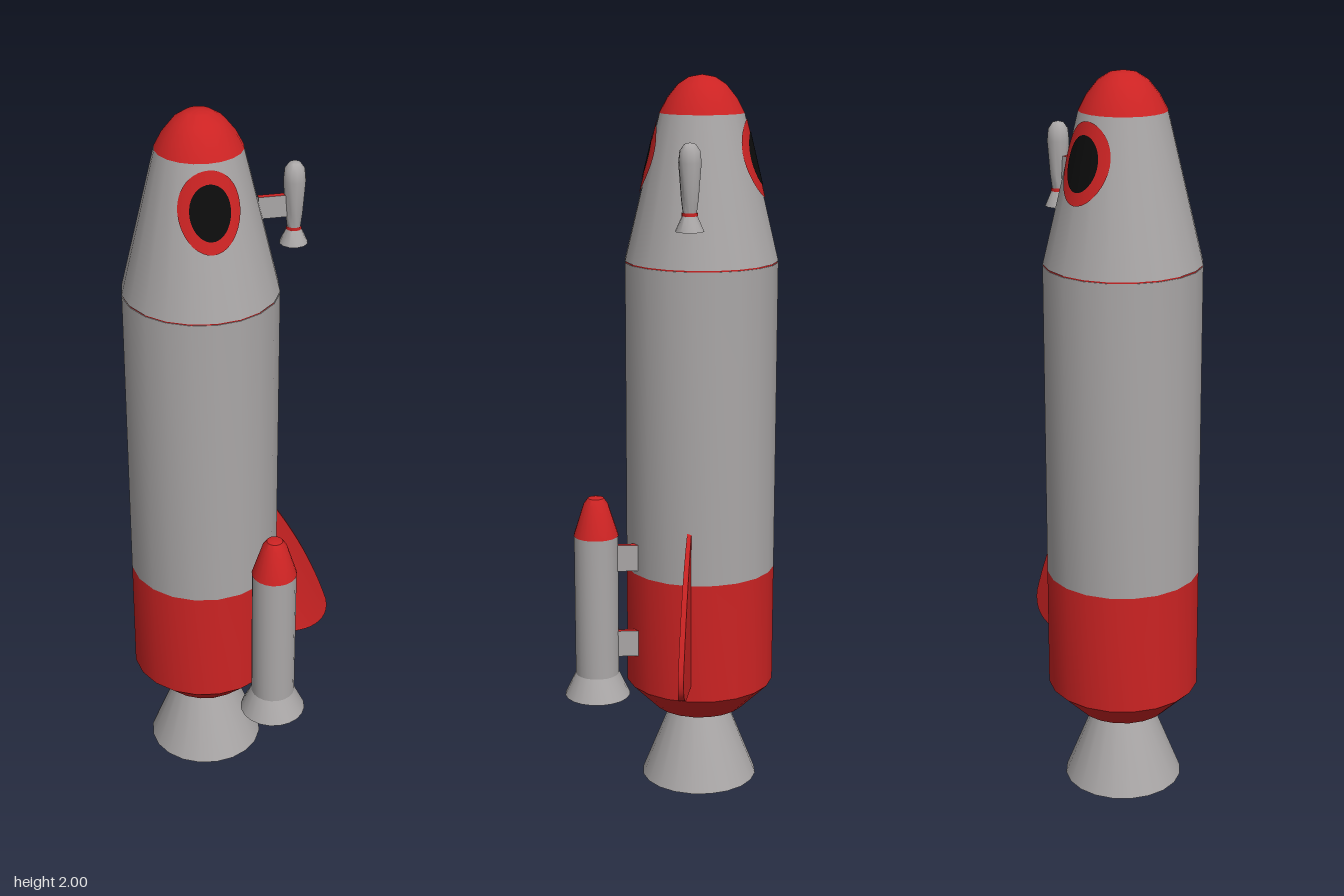
import * as THREE from 'three';
import { toCreasedNormals } from 'three/addons/utils/BufferGeometryUtils.js';

const grey = new THREE.MeshStandardMaterial({ color: 0xaaa7a7 });
grey.name = 'hullGrey';
const red = new THREE.MeshStandardMaterial({ color: 0xcc2323 });
red.name = 'trimRed';
const black = new THREE.MeshStandardMaterial({ color: 0x0c0c0c });
black.name = 'glassBlack';

function add(parent, name, geometry, material, x = 0, y = 0, z = 0) {
  const mesh = new THREE.Mesh(geometry, material);
  mesh.name = name;
  mesh.position.set(x, y, z);
  parent.add(mesh);
  return mesh;
}

// Turned part from [radius, y] pairs, listed bottom to top on the outside
function turn(profile, sides = 20, crease = 0.6) {
  const points = profile.map(([r, y]) => new THREE.Vector2(r, y));
  return toCreasedNormals(new THREE.LatheGeometry(points, sides), crease);
}

// Dark disc facing down inside a nozzle
function throat(parent, radius, y, sides) {
  add(parent, 'nozzleThroat', new THREE.CircleGeometry(radius, sides), black, 0, y, 0).rotation.x = Math.PI / 2;
}

// Strut along +z with grey sides and red top and bottom
function strut(parent, name, from, to, y, height, width) {
  const [dx, dz] = [to[0] - from[0], to[1] - from[1]];
  const box = new THREE.BoxGeometry(width, height, Math.hypot(dx, dz));
  const mesh = add(parent, name, box, [grey, grey, red, red, grey, grey],
    (from[0] + to[0]) / 2, y, (from[1] + to[1]) / 2);
  mesh.rotation.y = Math.atan2(dx, dz);
}

// Oval patch wrapped on the front of the tapered cabin
function ovalPatch(inner, rx, ry, lift) {
  const geometry = new THREE.RingGeometry(inner, 1, 40, 6);
  const p = geometry.attributes.position;
  for (let i = 0; i < p.count; i++) {
    const x = p.getX(i) * rx;
    const y = 1.782 + p.getY(i) * ry;
    const r = 0.21 - 0.095 * (y - 1.51) / 0.39 + lift;
    p.setXYZ(i, x, y, Math.sqrt(r * r - x * x));
  }
  geometry.computeVertexNormals();
  return geometry;
}

export function createModel() {
  const model = new THREE.Group();
  model.name = 'rocket';

  // Main hull
  const hull = new THREE.Group();
  hull.name = 'hull';
  hull.position.set(-0.083, 0, -0.078);
  model.add(hull);
  add(hull, 'lowerHull', turn([[0, 0.22], [0.13, 0.22], [0.21, 0.3], [0.21, 0.64]]), red);
  add(hull, 'upperHull', turn([[0.21, 0.64], [0.21, 1.503], [0.2, 1.503]]), grey);
  add(hull, 'seam', turn([[0.208, 1.5], [0.208, 1.512]]), red);
  add(hull, 'cabin', turn([[0.2, 1.507], [0.21, 1.507], [0.115, 1.9]]), grey);
  add(hull, 'noseCap', turn([[0.115, 1.9], [0.095, 1.938], [0.065, 1.975], [0.035, 1.994], [0, 2]]), red);

  // Main nozzle
  add(hull, 'mainNozzle', turn([[0.115, 0.045], [0.125, 0], [0.165, 0], [0.078, 0.22]]), grey);
  throat(hull, 0.12, 0.04, 20);

  // Windows on front and back
  for (const [side, angle] of [['front', 0], ['back', Math.PI]]) {
    add(hull, side + 'WindowFrame', ovalPatch(0.5, 0.08, 0.103, 0.002), red).rotation.y = angle;
    add(hull, side + 'WindowGlass', ovalPatch(0, 0.053, 0.07, 0.004), black).rotation.y = angle;
  }

  // Side booster
  const booster = new THREE.Group();
  booster.name = 'booster';
  booster.position.set(0.061, 0, 0.195);
  model.add(booster);
  add(booster, 'boosterBody', turn([[0.0615, 0.34], [0.0615, 0.755]]), grey);
  add(booster, 'boosterNozzle', turn([[0.06, 0.31], [0.066, 0.285], [0.092, 0.285], [0.0615, 0.35]]), grey);
  throat(booster, 0.064, 0.305, 20);
  add(booster, 'boosterCap', turn([[0.0625, 0.755], [0.034, 0.845], [0.022, 0.862], [0, 0.868]]), red);
  for (const y of [0.438, 0.69]) {
    strut(model, 'boosterStrut', [0.046, 0.08], [0.06, 0.145], y, 0.075, 0.015);
  }

  // Small thruster beside the cabin
  const pod = new THREE.Group();
  pod.name = 'thruster';
  pod.position.set(0.166, 0, -0.077);
  model.add(pod);
  add(pod, 'thrusterBody', turn([[0.018, 1.66], [0.023, 1.7], [0.03, 1.79], [0.027, 1.82],
    [0.015, 1.837], [0, 1.841]], 12, 0.8), grey);
  add(pod, 'thrusterRing', turn([[0.021, 1.655], [0.021, 1.664]], 12), red);
  add(pod, 'thrusterNozzle', turn([[0.024, 1.63], [0.026, 1.615], [0.038, 1.615], [0.018, 1.66]], 12), grey);
  throat(pod, 0.025, 1.625, 12);
  strut(model, 'thrusterStrut', [0.07, -0.077], [0.15, -0.077], 1.722, 0.06, 0.016);

  // Fin: flat at the back, front face thinning towards tip and top
  const outline = new THREE.Shape();
  outline.moveTo(0.1, 0.345);
  outline.lineTo(0.2, 0.345);
  outline.bezierCurveTo(0.27, 0.345, 0.305, 0.39, 0.277, 0.465);
  outline.quadraticCurveTo(0.22, 0.64, 0.125, 0.79);
  outline.lineTo(0.1, 0.8);
  const fin = new THREE.ExtrudeGeometry(outline, { depth: 1, bevelEnabled: false, curveSegments: 10 });
  const p = fin.attributes.position;
  for (let i = 0; i < p.count; i++) {
    const tip = Math.max(0, p.getX(i) - 0.12) / 0.17;
    const rise = Math.max(0, p.getY(i) - 0.45) / 0.35;
    p.setZ(i, -0.079 + p.getZ(i) * (0.026 - 0.012 * tip * tip - 0.015 * rise));
  }
  add(model, 'fin', toCreasedNormals(fin, 0.6), red);

  return model;
}
